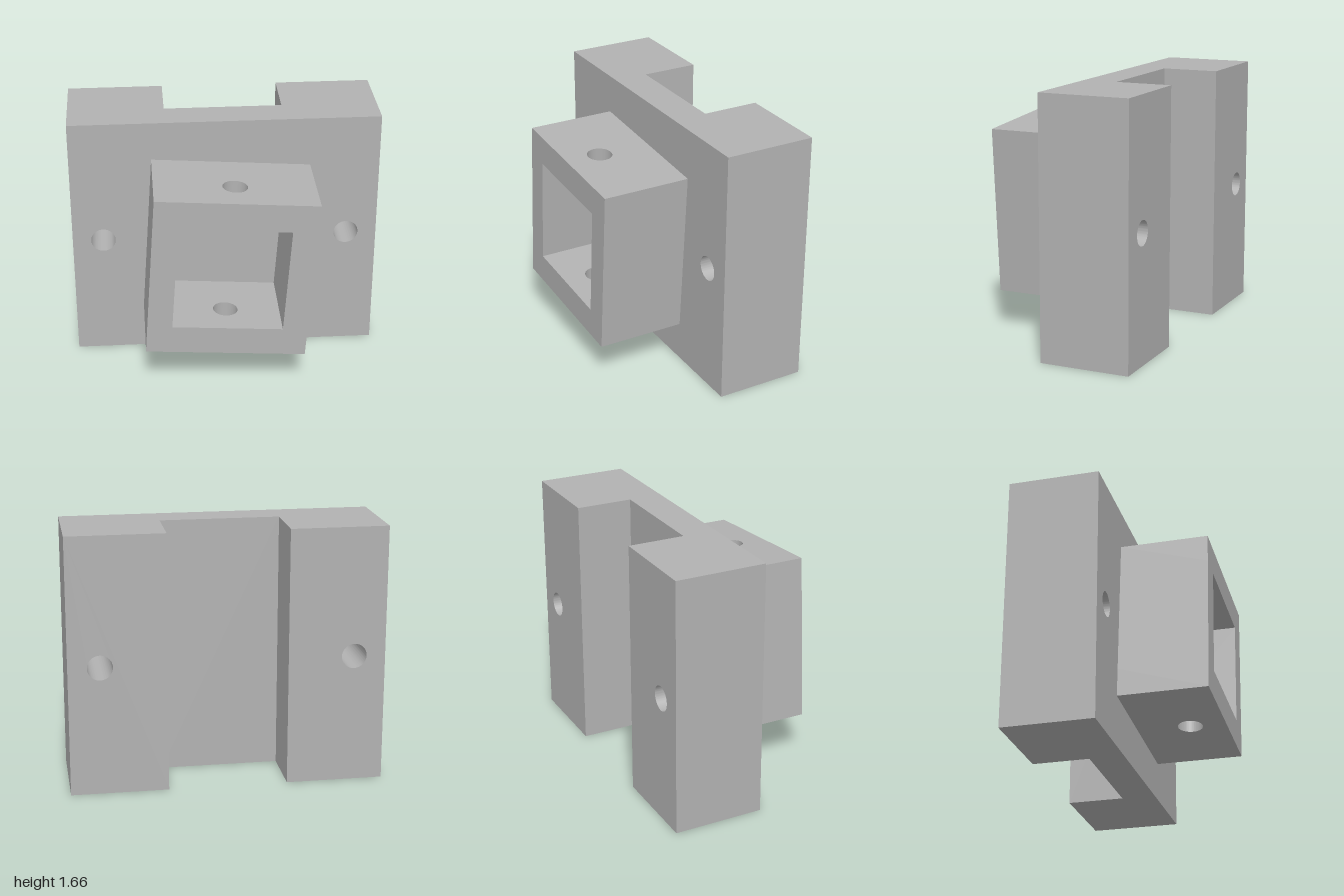
import * as THREE from 'three';
import { toCreasedNormals } from 'three/addons/utils/BufferGeometryUtils.js';

const HEIGHT = 1.66, BACK = -0.58, FACE = 0.007, FRONT = 0.58;
const HOLE_R = 0.08;

// Rectangular block centred on x and y, extruded from z = 0, with one round hole
function drilledBlock(width, height, depth, holeX, holeY) {
  const w = width / 2, h = height / 2;
  const shape = new THREE.Shape();
  shape.moveTo(-w, -h).lineTo(w, -h).lineTo(w, h).lineTo(-w, h).closePath();
  shape.holes.push(new THREE.Path().absarc(holeX, holeY, HOLE_R, 0, Math.PI * 2, true));
  const geometry = new THREE.ExtrudeGeometry(shape, { depth, bevelEnabled: false, curveSegments: 40 });
  return toCreasedNormals(geometry, Math.PI / 6);
}

export function createModel() {
  const model = new THREE.Group();
  model.name = 'mountingBracket';
  const grey = new THREE.MeshStandardMaterial({ color: 0xb2b2b2 });
  grey.name = 'plain grey';

  const add = (parent, name, geometry, x, y, z) => {
    const mesh = new THREE.Mesh(geometry, grey);
    mesh.name = name;
    mesh.position.set(x, y, z);
    parent.add(mesh);
    return mesh;
  };

  // Back plate: two thick drilled columns joined by a thinner web
  const channel = 0.38, webBack = -0.213;
  const columnWidth = 1 - channel, columnX = channel + columnWidth / 2;
  for (const side of [1, -1]) {
    add(model, side > 0 ? 'leftColumn' : 'rightColumn',
      drilledBlock(columnWidth, HEIGHT, FACE - BACK, side * (0.8 - columnX), 0),
      side * columnX, HEIGHT / 2, BACK);
  }
  add(model, 'web', new THREE.BoxGeometry(channel * 2, HEIGHT, FACE - webBack),
    0, HEIGHT / 2, (FACE + webBack) / 2);

  // Square socket on the front, turned slightly clockwise
  const socket = new THREE.Group();
  socket.name = 'socket';
  socket.position.set(0, HEIGHT / 2 + 0.001, (FACE + FRONT) / 2);
  socket.rotation.z = -THREE.MathUtils.degToRad(4);
  model.add(socket);

  const outerW = 1.025, outerH = 1.083, inner = 0.707, depth = FRONT - FACE;
  const wallX = (outerW - inner) / 2, wallY = (outerH - inner) / 2;

  // Upper and lower walls, drilled through for a cross pin
  const holeZ = 0.35 - socket.position.z;
  for (const side of [1, -1]) {
    const wall = add(socket, side > 0 ? 'socketTop' : 'socketBottom',
      drilledBlock(outerW, depth, wallY, 0, -holeZ),
      0, side > 0 ? inner / 2 : -outerH / 2, 0);
    wall.rotation.x = -Math.PI / 2;
  }

  // Side walls
  for (const side of [1, -1]) {
    add(socket, side > 0 ? 'socketLeft' : 'socketRight',
      new THREE.BoxGeometry(wallX, inner, depth), side * (inner + wallX) / 2, 0, 0);
  }
  return model;
}
